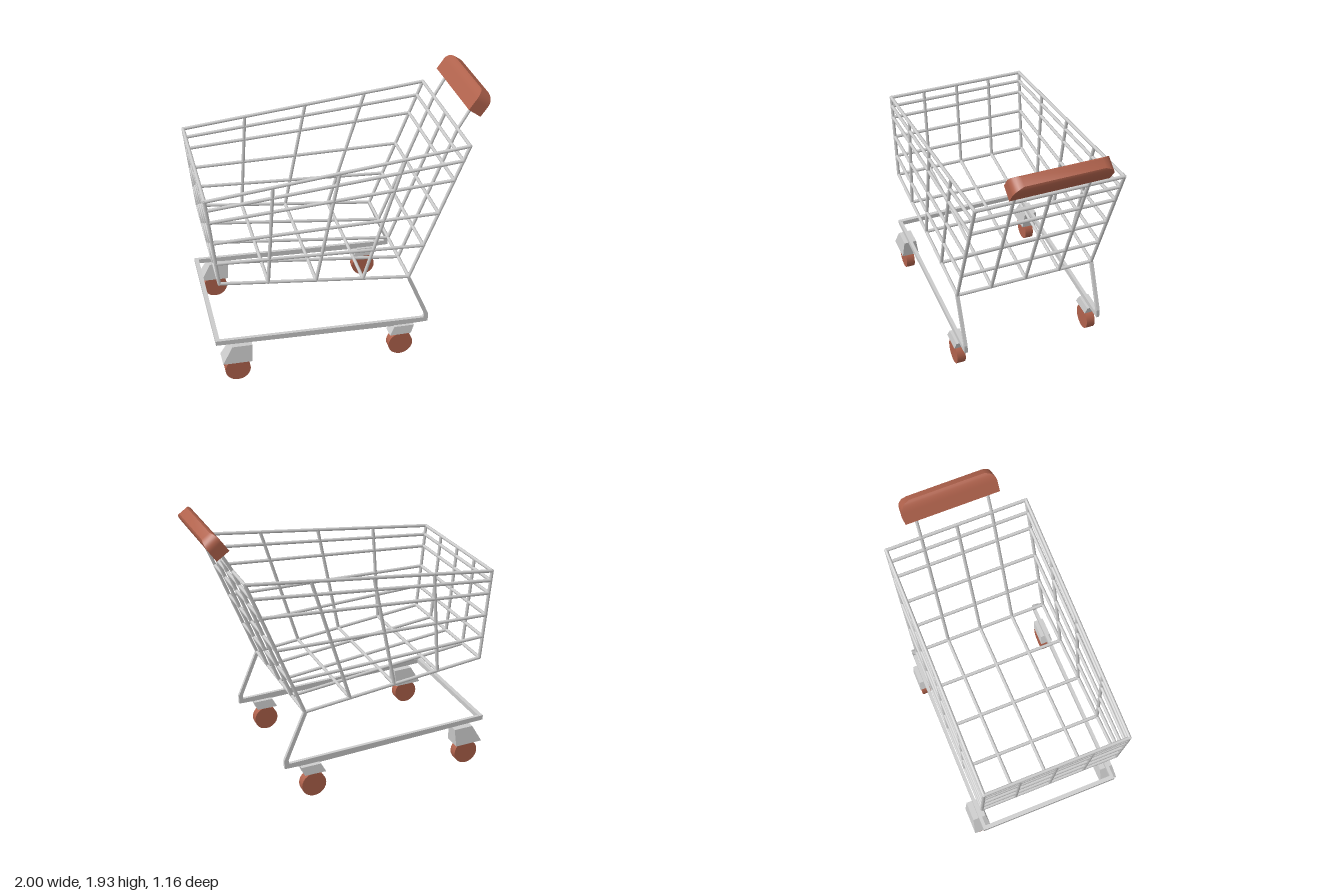
import * as THREE from 'three';
import { toCreasedNormals } from 'three/addons/utils/BufferGeometryUtils.js';
import { ConvexGeometry } from 'three/addons/geometries/ConvexGeometry.js';

const V = (x, y, z) => new THREE.Vector3(x, y, z);

export function createModel() {
  const cart = new THREE.Group();
  cart.name = 'shoppingCart';
  const metal = new THREE.MeshStandardMaterial({ color: 0xcccccc });
  const red = new THREE.MeshStandardMaterial({ color: 0xb0624c });

  const add = (parent, name, geometry, material = metal) => {
    const mesh = new THREE.Mesh(geometry, material);
    mesh.name = name;
    parent.add(mesh);
    return mesh;
  };
  const group = (name) => {
    const g = new THREE.Group();
    g.name = name;
    cart.add(g);
    return g;
  };
  // Round rod between two points
  const rod = (parent, name, a, b, r = 0.012) => {
    const dir = b.clone().sub(a);
    const mesh = add(parent, name, new THREE.CylinderGeometry(r, r, dir.length() + r, 10));
    mesh.position.copy(a).add(b).multiplyScalar(0.5);
    mesh.quaternion.setFromUnitVectors(V(0, 1, 0), dir.normalize());
  };

  // Basket: side outline as a quad, s runs nose to handle, t runs bottom to rim
  const basket = group('basket');
  const W = 0.512, zMid = 0.005;
  const bottomNose = V(-0.925, 0.825, 0), bottomBack = V(0.405, 0.655, 0);
  const topNose = V(-0.985, 1.477, 0), topBack = V(0.798, 1.643, 0);
  const at = (s, t, z) => {
    const p = bottomNose.clone().lerp(bottomBack, s).lerp(topNose.clone().lerp(topBack, s), t);
    p.z = z + zMid;
    return p;
  };
  // Level rings around the basket
  for (const t of [0, 0.25, 0.5, 0.75, 0.893, 1]) {
    for (const z of [-W, W]) rod(basket, 'sideRail', at(0, t, z), at(1, t, z));
    for (const s of [0, 1]) rod(basket, 'endRail', at(s, t, -W), at(s, t, W));
  }
  // Side uprights and the floor bars joining them
  for (const s of [0, 0.25, 0.5, 0.75, 1]) {
    for (const z of [-W, W]) rod(basket, 'sideUpright', at(s, 0, z), at(s, 1, z));
    if (s > 0 && s < 1) rod(basket, 'floorCrossBar', at(s, 0, -W), at(s, 0, W));
  }
  // Lengthwise floor bars continuing up both end panels
  for (const z of [-0.258, 0, 0.258]) {
    rod(basket, 'floorBar', at(0, 0, z), at(1, 0, z));
    for (const s of [0, 1]) rod(basket, 'endUpright', at(s, 0, z), at(s, 1, z));
  }

  // Handle: two posts and a grip that rounds in towards its top
  const handle = group('handle');
  for (const z of [-0.258, 0.258]) {
    rod(handle, 'handlePost', at(1, 1, z), V(0.895, 1.81, z + zMid), 0.011);
  }
  const H = 0.155, straight = 0.085;
  const grip = new THREE.BoxGeometry(0.106, H, 0.676, 1, 14, 1);
  grip.translate(0, H / 2, 0);
  const p = grip.attributes.position;
  for (let i = 0; i < p.count; i++) {
    const k = Math.max(0, (p.getY(i) - straight) / (H - straight));
    const inset = 1 - Math.sqrt(1 - k * k * 0.98);
    p.setX(i, p.getX(i) * (1 - 0.45 * inset));
    p.setZ(i, p.getZ(i) - Math.sign(p.getZ(i)) * 0.08 * inset);
  }
  const gripMesh = add(handle, 'grip', toCreasedNormals(grip, 0.6), red);
  gripMesh.position.set(0.882, 1.788, 0.003);
  gripMesh.rotation.z = -0.62;

  // Chassis: bent flat rails with a cross bar at the nose
  const chassis = group('chassis');
  const outline = new THREE.Shape([
    [-0.978, 0.315], [0.3, 0.245], [0.56, 0.245], [0.562, 0.31], [0.417, 0.655],
    [0.392, 0.648], [0.532, 0.31], [0.527, 0.28], [-0.978, 0.35],
  ].map(([x, y]) => new THREE.Vector2(x, y)));
  for (const z of [-W, W]) {
    const rail = add(chassis, 'chassisRail',
      new THREE.ExtrudeGeometry(outline, { depth: 0.024, bevelEnabled: false }));
    rail.position.z = z + zMid - 0.012;
  }
  add(chassis, 'noseBar', new THREE.BoxGeometry(0.03, 0.035, 2 * W))
    .position.set(-0.963, 0.332, zMid);

  // Casters: tapered housing over a wheel; corners are [x, y] with half widths
  const casters = [
    { name: 'noseCaster', wheelX: -0.835, top: [[-0.87, 0.305], [-0.728, 0.3]], topW: 0.048,
      bottom: [[-0.942, 0.178], [-0.738, 0.17]], bottomW: 0.065 },
    { name: 'backCaster', wheelX: 0.355, top: [[0.305, 0.25], [0.45, 0.245]], topW: 0.037,
      bottom: [[0.27, 0.185], [0.427, 0.183]], bottomW: 0.046 },
  ];
  for (const c of casters) {
    for (const side of [-1, 1]) {
      const caster = group(c.name);
      caster.position.z = side * 0.513;
      const corners = [];
      for (const k of [-1, 1]) {
        for (const [x, y] of c.top) corners.push(V(x, y, k * c.topW));
        for (const [x, y] of c.bottom) corners.push(V(x, y, k * c.bottomW));
      }
      add(caster, 'housing', new ConvexGeometry(corners));
      const wheel = add(caster, 'wheel', new THREE.CylinderGeometry(0.09, 0.09, 0.064, 24), red);
      wheel.rotation.x = Math.PI / 2;
      wheel.position.set(c.wheelX, 0.09, 0);
    }
  }
  return cart;
}
